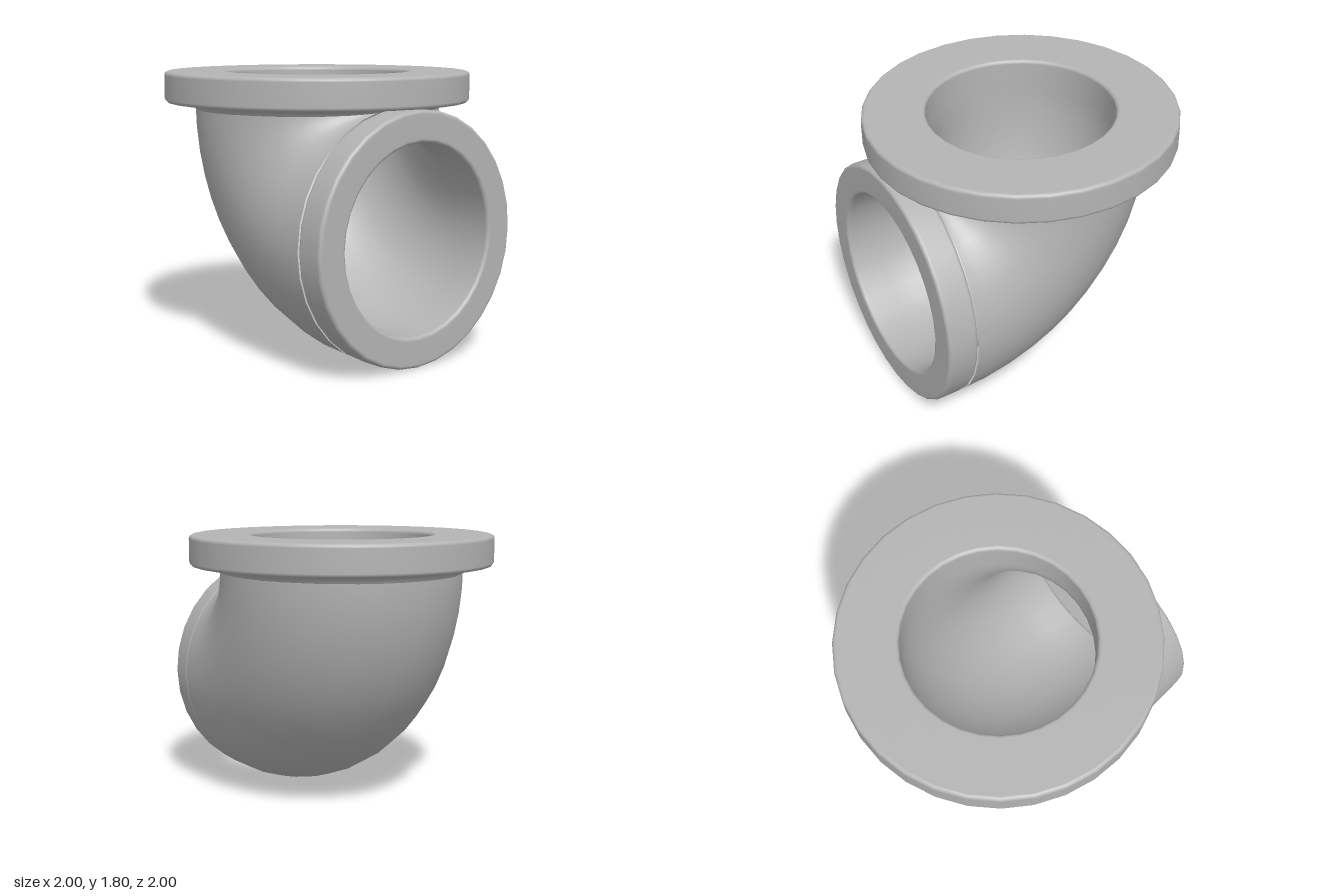
import * as THREE from 'three';

const SIDES = 32;

export function createModel() {
  const group = new THREE.Group();
  group.name = 'elbowPipe';
  const castGrey = new THREE.MeshStandardMaterial({ color: 0xb4b4b4 });
  castGrey.name = 'castGrey';

  const add = (name, geometry) => {
    const mesh = new THREE.Mesh(geometry, castGrey);
    mesh.name = name;
    group.add(mesh);
    return mesh;
  };

  // Closed ring around y with softly rounded corners
  const ring = (inner, outer, height, bevel) => {
    const pts = [];
    const corner = (r, y, start) => {
      for (let i = 0; i <= 4; i++) {
        const a = start + (i / 4) * Math.PI / 2;
        pts.push(new THREE.Vector2(r + bevel * Math.cos(a), y + bevel * Math.sin(a)));
      }
    };
    pts.push(new THREE.Vector2(inner, 0));
    corner(outer - bevel, bevel, -Math.PI / 2);
    corner(outer - bevel, height - bevel, 0);
    corner(inner + bevel, height - bevel, Math.PI / 2);
    pts.push(new THREE.Vector2(inner, 0));
    return new THREE.LatheGeometry(pts, SIDES);
  };

  // Quarter bend from the top opening round to the front opening
  const bend = (radius, inward) => {
    const g = new THREE.TorusGeometry(0.8, radius, SIDES, 12, Math.PI / 2);
    g.applyMatrix4(new THREE.Matrix4().makeBasis(
      new THREE.Vector3(0, 0, -1), new THREE.Vector3(0, -1, 0), new THREE.Vector3(-1, 0, 0)));
    g.translate(0, 1.6, 0.8);
    if (inward) {
      g.index.array.reverse();
      const n = g.attributes.normal.array;
      for (let i = 0; i < n.length; i++) n[i] *= -1;
    }
    return g;
  };

  add('outerBend', bend(0.8, false));
  add('innerBore', bend(0.6, true));

  // Wide top flange
  add('topFlange', ring(0.6, 1, 0.2, 0.025)).position.y = 1.6;

  // Front collar
  const collar = add('frontCollar', ring(0.6, 0.8, 0.2, 0.025));
  collar.rotation.x = Math.PI / 2;
  collar.position.set(0, 0.8, 0.8);

  // Fillet under the flange
  const fillet = [[0.79, 1.53], [0.8, 1.555], [0.82, 1.578], [0.85, 1.592], [0.89, 1.602]]
    .map(([r, y]) => new THREE.Vector2(r, y));
  add('flangeFillet', new THREE.LatheGeometry(fillet, SIDES));

  return group;
}
